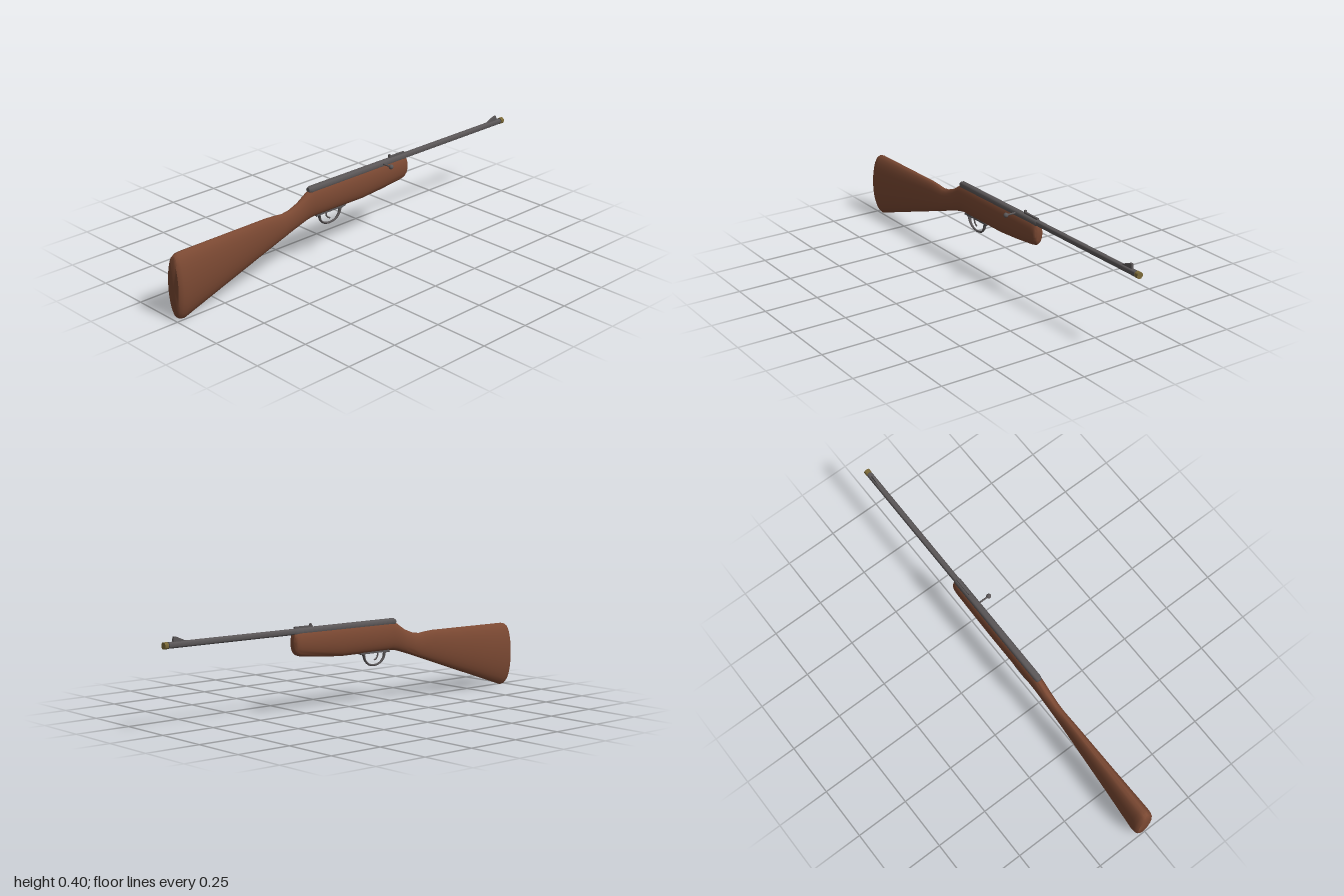
import * as THREE from 'three';
import { toCreasedNormals } from 'three/addons/utils/BufferGeometryUtils.js';

const CZ = -0.015; // centre plane of the body
const BORE = 0.366; // height of the barrel axis

const wood = new THREE.MeshStandardMaterial({ name: 'wood', color: 0x7a4832 });
const steel = new THREE.MeshStandardMaterial({ name: 'steel', color: 0x5a5657 });
const brass = new THREE.MeshStandardMaterial({ name: 'brass', color: 0x7c6a38 });

// Elliptical loft along x; each section is [x, bottom, top, halfWidth]
function loft(sections, sides = 28) {
  const pos = [], index = [];
  for (const [x, bottom, top, w] of sections) {
    for (let j = 0; j < sides; j++) {
      const a = (j / sides) * Math.PI * 2;
      pos.push(x, (top + bottom) / 2 + ((top - bottom) / 2) * Math.sin(a), w * Math.cos(a));
    }
  }
  for (let i = 0; i < sections.length - 1; i++) {
    for (let j = 0; j < sides; j++) {
      const a = i * sides + j, b = i * sides + ((j + 1) % sides);
      index.push(a, a + sides, b, b, a + sides, b + sides);
    }
  }
  const g = new THREE.BufferGeometry();
  g.setAttribute('position', new THREE.Float32BufferAttribute(pos, 3));
  g.setIndex(index);
  return toCreasedNormals(g, 0.7);
}

// Turned part along x; profile is [radius, x]
function turned(profile, sides = 24) {
  const g = new THREE.LatheGeometry(profile.map(([r, x]) => new THREE.Vector2(r, x)), sides);
  return toCreasedNormals(g.rotateZ(-Math.PI / 2), 0.6);
}

// Side outline extruded across z, centred
function plate(points, width) {
  const shape = new THREE.Shape(points.map(([x, y]) => new THREE.Vector2(x, y)));
  return new THREE.ExtrudeGeometry(shape, { depth: width, bevelEnabled: false }).translate(0, 0, -width / 2);
}

function curve(points) {
  return new THREE.CatmullRomCurve3(points.map(([x, y]) => new THREE.Vector3(x, y, 0)));
}

export function createModel() {
  const group = new THREE.Group();
  const add = (name, geometry, material, y = 0) => {
    const mesh = new THREE.Mesh(geometry, material);
    mesh.name = name;
    mesh.position.set(0, y, CZ);
    group.add(mesh);
  };

  // Stock: butt, wrist and fore-end in one loft
  add('stock', loft([
    [-1, 0.15, 0.15, 0],
    [-1, 0.035, 0.275, 0.034],
    [-0.993, 0.016, 0.291, 0.041],
    [-0.98, 0.005, 0.299, 0.0445],
    [-0.96, 0.001, 0.302, 0.045],
    [-0.75, 0.072, 0.304, 0.035],
    [-0.5, 0.156, 0.306, 0.025],
    [-0.45, 0.173, 0.303, 0.023],
    [-0.41, 0.186, 0.299, 0.022],
    [-0.37, 0.2, 0.305, 0.022],
    [-0.32, 0.216, 0.324, 0.023],
    [-0.27, 0.231, 0.356, 0.0245],
    [-0.24, 0.236, 0.368, 0.0255],
    [0.06, 0.236, 0.37, 0.0255],
    [0.18, 0.245, 0.37, 0.0255],
    [0.3, 0.258, 0.37, 0.0255],
    [0.32, 0.264, 0.368, 0.024],
    [0.331, 0.274, 0.362, 0.02],
    [0.335, 0.288, 0.352, 0.014],
    [0.335, 0.32, 0.32, 0],
  ]), wood);

  // Receiver, barrel and muzzle ring
  add('receiver', turned([[0, -0.262], [0.011, -0.262], [0.0165, -0.25], [0.0165, 0.322], [0.0135, 0.33], [0, 0.33]]), steel, 0.3645);
  add('barrel', turned([[0, 0.3], [0.0135, 0.3], [0.0135, 0.978], [0.01, 0.978], [0.01, 0.985]]), steel, BORE);
  add('muzzle', turned([[0.01, 0.982], [0.0145, 0.982], [0.0145, 1], [0, 1]]), brass, BORE);

  // Sights
  add('frontSight', plate([[0.885, 0.376], [0.955, 0.376], [0.952, 0.4], [0.94, 0.399]], 0.01), steel);
  add('rearSight', plate([[0.23, 0.376], [0.325, 0.376], [0.325, 0.387], [0.24, 0.387], [0.238, 0.395], [0.23, 0.395]], 0.01), steel);

  // Cocking handle with ball, on the front side
  const rod = new THREE.CylinderGeometry(0.004, 0.004, 0.065, 12).rotateX(Math.PI / 2);
  add('handleRod', rod.translate(0.18, 0.369, 0.0325), steel);
  add('handleBall', new THREE.SphereGeometry(0.011, 20, 14).translate(0.18, 0.369, 0.064), steel);

  // Trigger guard: a hoop that widens towards its ends
  const hoop = new THREE.TubeGeometry(curve([
    [-0.225, 0.233], [-0.2, 0.23], [-0.192, 0.205], [-0.17, 0.185], [-0.135, 0.177],
    [-0.1, 0.185], [-0.08, 0.205], [-0.07, 0.23], [-0.045, 0.236],
  ]), 48, 0.005, 8);
  const p = hoop.attributes.position;
  for (let i = 0; i < p.count; i++) {
    p.setZ(i, p.getZ(i) * (0.8 + 1.2 * THREE.MathUtils.clamp((p.getY(i) - 0.175) / 0.06, 0, 1)));
  }
  hoop.computeVertexNormals();
  add('triggerGuard', hoop, steel);
  add('guardPlate', new THREE.BoxGeometry(0.17, 0.008, 0.018).translate(-0.135, 0.236, 0), steel);

  // Curved trigger
  add('trigger', new THREE.TubeGeometry(curve([
    [-0.155, 0.238], [-0.157, 0.22], [-0.15, 0.207], [-0.135, 0.198],
  ]), 16, 0.0035, 8), steel);

  return group;
}
